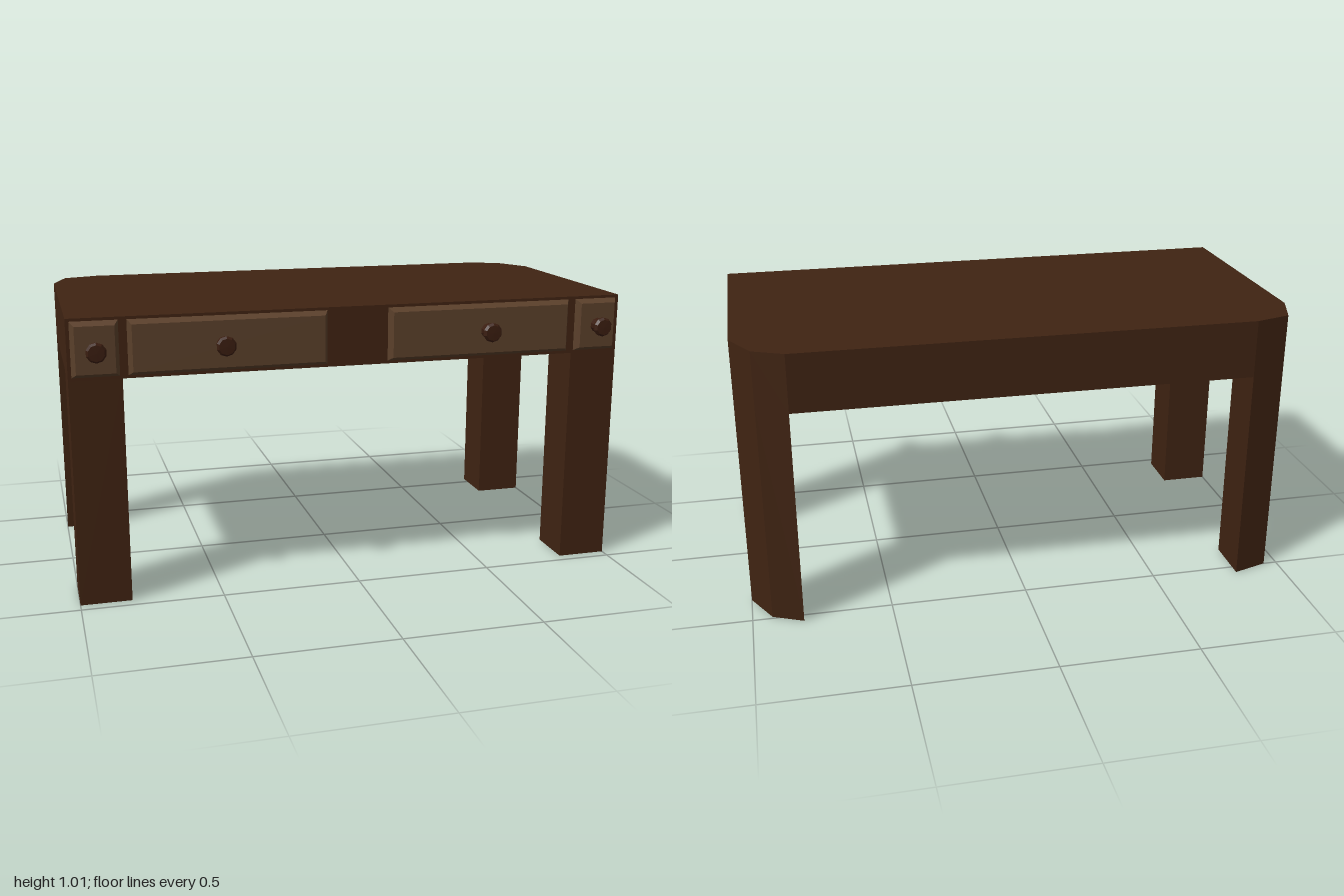
import * as THREE from 'three';

const wood = new THREE.MeshStandardMaterial({ color: 0x3f2312, flatShading: true });
const panelWood = new THREE.MeshStandardMaterial({ color: 0x5a3f2a, flatShading: true });
const knobWood = new THREE.MeshStandardMaterial({ color: 0x3a1d10, flatShading: true });

function add(parent, name, geometry, material) {
  const mesh = new THREE.Mesh(geometry, material);
  mesh.name = name;
  parent.add(mesh);
  return mesh;
}

// Upright prism from a plan outline of [x, z] points
function prism(plan, y0, y1) {
  const shape = new THREE.Shape(plan.map(([x, z]) => new THREE.Vector2(x, -z)));
  const geo = new THREE.ExtrudeGeometry(shape, { depth: y1 - y0, bevelEnabled: false });
  return geo.rotateX(-Math.PI / 2).translate(0, y0, 0);
}

// Drawer front whose outer face is inset to form a sloping edge
function bevelledPanel(width, height, depth, inset) {
  const geo = new THREE.BoxGeometry(width, height, depth);
  const p = geo.attributes.position;
  for (let i = 0; i < p.count; i++) {
    if (p.getZ(i) > 0) {
      p.setX(i, p.getX(i) - Math.sign(p.getX(i)) * inset);
      p.setY(i, p.getY(i) - Math.sign(p.getY(i)) * inset);
    }
  }
  geo.computeVertexNormals();
  return geo;
}

export function createModel() {
  const desk = new THREE.Group();
  desk.name = 'desk';
  const front = 0.46, back = -0.54, under = 0.8, top = 1.01;

  // Rounded back corners, slightly different on each side
  const leftCorner = [[1, -0.36], [0.93, -0.49], [0.82, back]];
  const rightCorner = [[-0.82, back], [-0.95, -0.5], [-1, -0.36]];

  // Thick top
  add(desk, 'top', prism([[-1, front], [1, front], ...leftCorner, ...rightCorner], under, top), wood);

  // Legs; the back ones follow the rounded corners
  add(desk, 'backLeftLeg', prism([[0.82, -0.36], ...leftCorner], 0, under), wood);
  add(desk, 'backRightLeg', prism([[-0.82, -0.36], ...rightCorner], 0, under), wood);
  for (const [side, name] of [[1, 'frontLeftLeg'], [-1, 'frontRightLeg']]) {
    add(desk, name, new THREE.BoxGeometry(0.18, under, 0.18), wood)
      .position.set(side * 0.91, under / 2, front - 0.09);
  }

  // Turned knob profile: radius, distance from the drawer
  const profile = [[0.027, 0], [0.024, 0.025], [0.033, 0.033], [0.035, 0.045], [0.028, 0.056], [0, 0.057]]
    .map(([r, h]) => new THREE.Vector2(r, h));
  const knob = new THREE.LatheGeometry(profile, 10).rotateX(Math.PI / 2);

  // Two wide drawers and two small ones, each with a knob
  for (const side of [-1, 1]) {
    for (const [name, x, width, knobX] of [['wideDrawer', 0.455, 0.69, 0.478], ['smallDrawer', 0.908, 0.16, 0.908]]) {
      const drawer = new THREE.Group();
      drawer.name = name;
      add(drawer, 'drawerFront', bevelledPanel(width, 0.19, 0.025, 0.014), panelWood)
        .position.set(side * x, 0.905, front + 0.0125);
      add(drawer, 'knob', knob, knobWood).position.set(side * knobX, 0.905, front + 0.024);
      desk.add(drawer);
    }
  }
  return desk;
}
